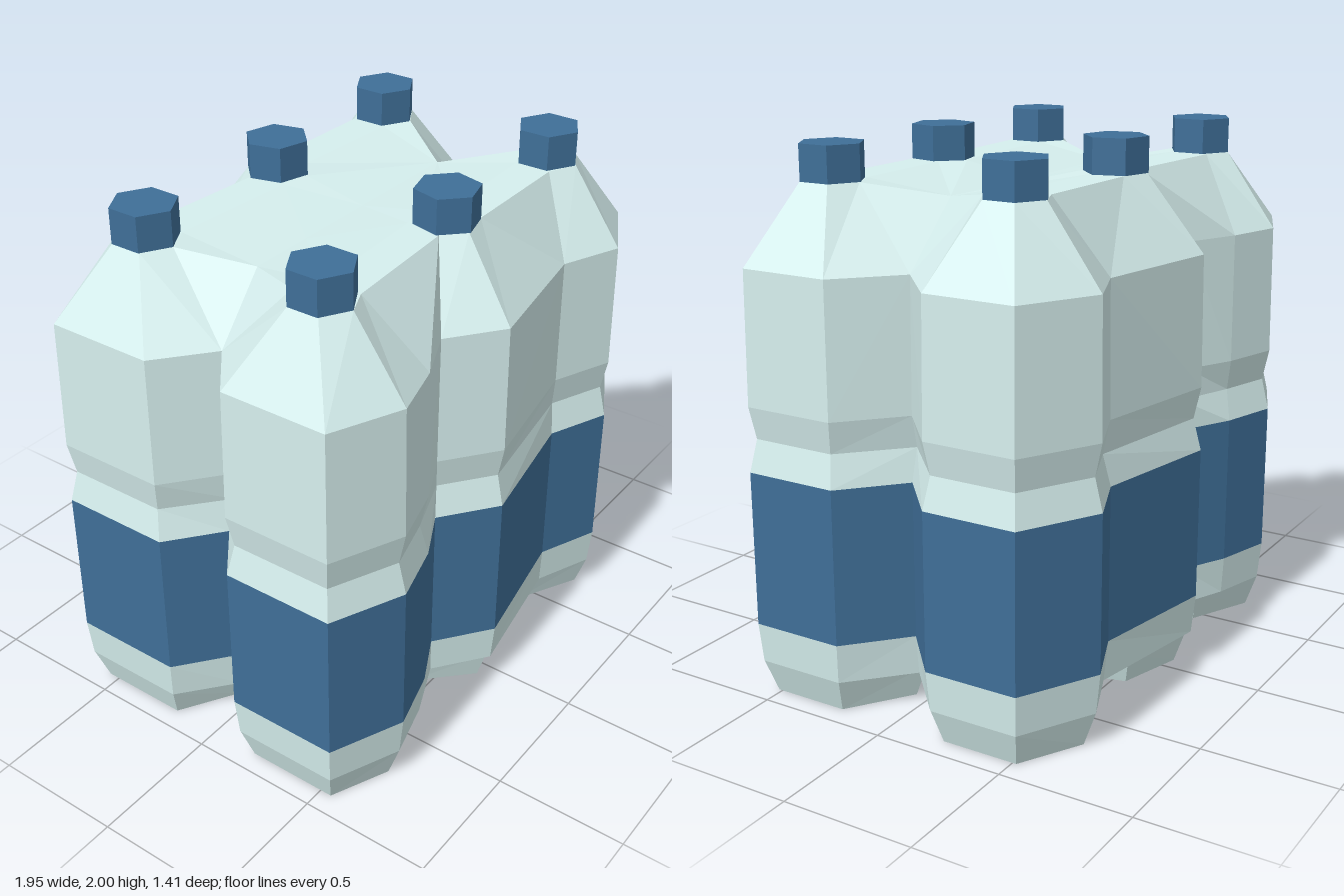
import * as THREE from 'three';

const clear = new THREE.MeshStandardMaterial({ color: 0xd6efee, flatShading: true });
const blue = new THREE.MeshStandardMaterial({ color: 0x3f6f98, flatShading: true });

// Front half of the pack's outline: [x, z, centre x, centre z it shrinks towards]
const outline = [
  [-0.78, 0, -0.4, 0], [-0.975, 0.155, -0.7, 0.37], [-0.975, 0.585, -0.7, 0.37],
  [-0.7, 0.705, -0.7, 0.37], [-0.47, 0.64, -0.7, 0.37], [-0.285, 0.545, 0, 0.37],
  [-0.08, 0.7, 0, 0.37], [0.44, 0.605, 0.68, 0.37], [0.44, 0.605, 0.68, 0.37],
  [0.68, 0.705, 0.68, 0.37], [0.972, 0.548, 0.68, 0.37], [0.972, 0.19, 0.68, 0.37],
  [0.76, 0, 0.4, 0],
];
// Neck-level points, one for each outline point
const crown = [
  [-0.7, 0.25], [-0.8, 0.31], [-0.8, 0.43], [-0.7, 0.49], [-0.6, 0.445], [-0.11, 0.41],
  [-0.03, 0.48], [0.09, 0.45], [0.57, 0.44], [0.68, 0.49], [0.78, 0.43], [0.78, 0.31], [0.68, 0.25],
];
// Inner edge of the top deck and the central valley below it
const inner = [[-0.7, 0.25], [-0.6, 0.3], [-0.09, 0.27], [0.02, 0.25], [0.11, 0.32], [0.57, 0.3], [0.68, 0.25]];
const valleyX = [-0.57, -0.57, -0.31, 0.02, 0.5, 0.5, 0.5];
const deckY = 1.87, valleyY = 1.82, bellyY = 0.13;

const ring = (y, s) => outline.map(([x, z, cx, cz]) => [cx + (x - cx) * s, y, cz + (z - cz) * s]);
const at = (points, y) => points.map(([x, z]) => [x, y, z]);

// Collects triangles, mirrored front and back
class Shell {
  constructor() { this.p = []; }
  tri(a, b, c) {
    const [A, B, C] = [a, b, c].map((v) => new THREE.Vector3(...v));
    if (B.clone().sub(A).cross(C.clone().sub(A)).length() < 1e-7) return;
    this.p.push(...a, ...b, ...c);
    for (const v of [a, c, b]) this.p.push(v[0], v[1], -v[2]);
  }
  strip(low, high) {
    for (let i = 0; i < low.length - 1; i++) {
      this.tri(low[i], low[i + 1], high[i + 1]);
      this.tri(low[i], high[i + 1], high[i]);
    }
  }
  // Horizontal polygon facing up (dir 1) or down (dir -1)
  flat(points, y, dir) {
    const pts = points.map(([x, z]) => new THREE.Vector2(x, z));
    const v = at(points, y);
    for (const [i, j, k] of THREE.ShapeUtils.triangulateShape(pts, [])) {
      const area = (pts[j].x - pts[i].x) * (pts[k].y - pts[i].y) - (pts[j].y - pts[i].y) * (pts[k].x - pts[i].x);
      if (area * dir < 0) this.tri(v[i], v[j], v[k]);
      else this.tri(v[i], v[k], v[j]);
    }
  }
  mesh(name, material) {
    const g = new THREE.BufferGeometry();
    g.setAttribute('position', new THREE.Float32BufferAttribute(this.p, 3));
    g.computeVertexNormals();
    const m = new THREE.Mesh(g, material);
    m.name = name;
    return m;
  }
}

function band(name, material, levels) {
  const shell = new Shell();
  for (let i = 0; i < levels.length - 1; i++) shell.strip(ring(...levels[i]), ring(...levels[i + 1]));
  return shell.mesh(name, material);
}

export function createModel() {
  const group = new THREE.Group();

  // Bottle walls and the wrapped label
  group.add(band('lowerWalls', clear, [[bellyY, 0.955], [0.28, 1]]));
  group.add(band('label', blue, [[0.28, 1], [0.86, 1]]));
  group.add(band('upperWalls', clear, [[0.86, 1], [0.98, 0.91], [1.1, 0.985], [1.59, 0.965]]));

  // Shoulders, top deck and the shallow valley between the rows
  const top = new Shell();
  const shoulder = ring(1.59, 0.965);
  top.strip(shoulder, at(crown, deckY));
  top.flat([...crown, ...inner.slice(1, -1).reverse()], deckY, 1);
  const edge = at(inner, deckY);
  const valley = valleyX.map((x) => [x, valleyY, 0]);
  top.strip(edge, valley);
  top.tri(shoulder[0], edge[0], valley[0]);
  top.tri(shoulder.at(-1), valley.at(-1), edge.at(-1));
  group.add(top.mesh('shoulders', clear));

  // Underside between the feet
  const belly = new Shell();
  const rim = ring(bellyY, 0.955).map(([x, , z]) => [x, z]);
  rim.splice(8, 1);
  belly.flat(rim, bellyY, -1);
  group.add(belly.mesh('underside', clear));

  // Six tapered feet
  const middle = Array.from({ length: 6 }, (_, i) => {
    const a = (-14 + i * 60) * Math.PI / 180;
    return [0.315 * Math.sin(a), 0.36 + 0.315 * Math.cos(a)];
  });
  const feet = [
    [-0.7, [[-0.7, 0.69], [-0.4, 0.55], [-0.4, 0.17], [-0.7, 0.01], [-0.962, 0.165], [-0.962, 0.575]]],
    [0, middle],
    [0.68, [[0.68, 0.69], [0.958, 0.54], [0.958, 0.198], [0.68, 0.01], [0.385, 0.19], [0.385, 0.54]]],
  ];
  const foot = new Shell();
  for (const [cx, hex] of feet) {
    const sole = hex.map(([x, z]) => [cx + (x - cx) * 0.84, 0.36 + (z - 0.36) * 0.86]);
    foot.strip(at([...sole, sole[0]], 0), at([...hex, hex[0]], bellyY));
    foot.flat(sole, 0, -1);
  }
  group.add(foot.mesh('feet', clear));

  // Hexagonal caps, the middle pair slightly turned
  const capGeometry = new THREE.CylinderGeometry(0.12, 0.12, 0.13, 6);
  for (const side of [1, -1]) {
    for (const [x, turn] of [[-0.7, 0], [0, -0.25], [0.675, 0]]) {
      const cap = new THREE.Mesh(capGeometry, blue);
      cap.name = 'cap';
      cap.position.set(x, 1.935, side * 0.37);
      cap.rotation.y = turn * side;
      group.add(cap);
    }
  }
  return group;
}
